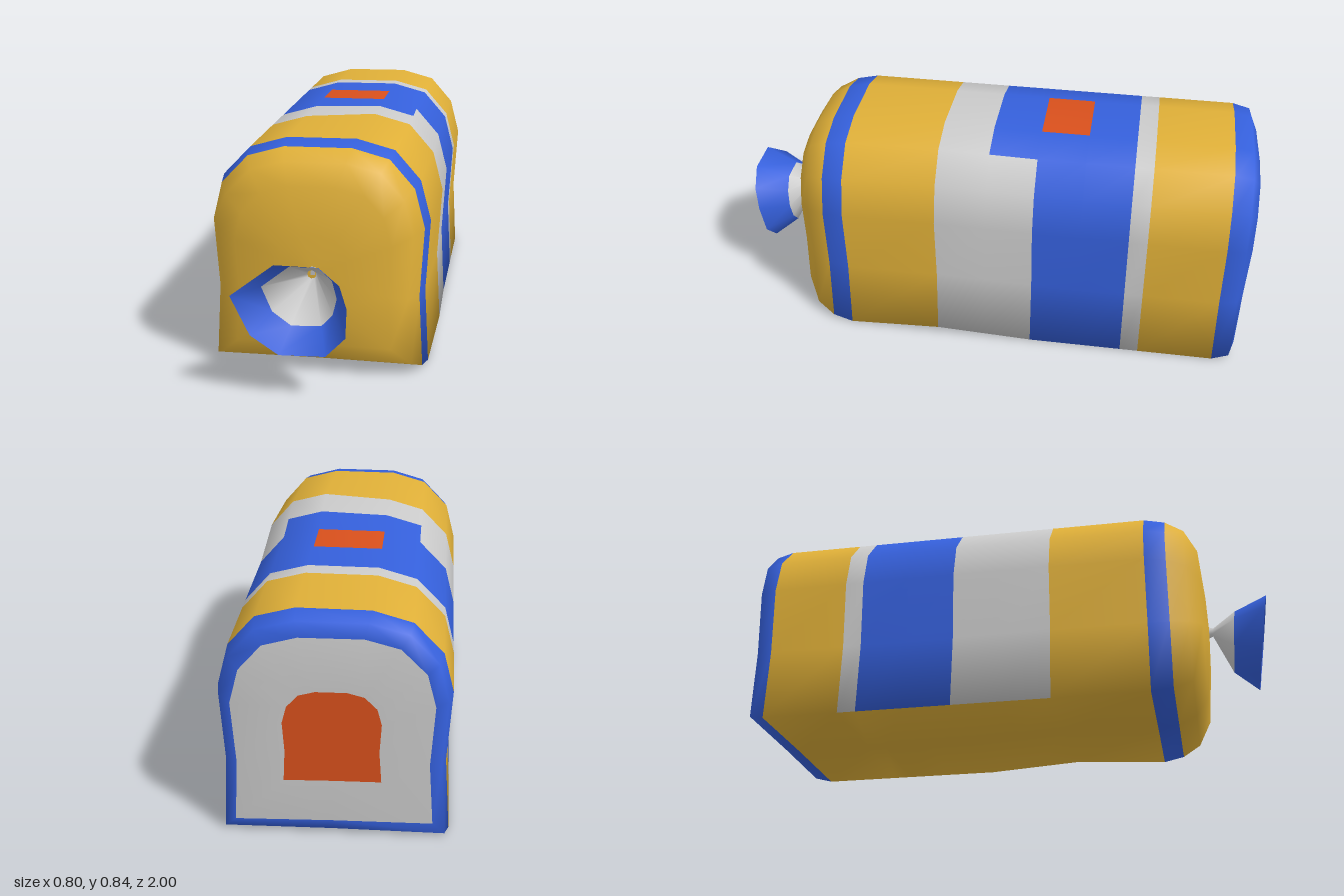
import * as THREE from 'three';

const COLORS = { gold: 0xe0b038, blue: 0x3560dc, grey: 0xcccccc, orange: 0xd9501c };

// Skins rows of closed rings (front to back) with shared smooth normals,
// then splits the cells into one mesh per colour.
function loft(name, rows, colorOf, side = THREE.FrontSide) {
  const n = rows[0].length, parts = {}, all = [];
  for (let r = 0; r < rows.length - 1; r++) {
    for (let i = 0; i < n; i++) {
      const a = r * n + i, b = r * n + (i + 1) % n, c = a + n, d = b + n;
      const cell = [a, b, c, b, d, c];
      all.push(...cell);
      (parts[colorOf(r, i)] ||= []).push(...cell);
    }
  }
  const base = new THREE.BufferGeometry();
  base.setAttribute('position', new THREE.Float32BufferAttribute(rows.flat(2), 3));
  base.setIndex(all);
  base.computeVertexNormals();
  const group = new THREE.Group();
  group.name = name;
  for (const [color, index] of Object.entries(parts)) {
    const geometry = new THREE.BufferGeometry();
    geometry.setAttribute('position', base.attributes.position);
    geometry.setAttribute('normal', base.attributes.normal);
    geometry.setIndex(index);
    const mesh = new THREE.Mesh(geometry, new THREE.MeshStandardMaterial({ color: COLORS[color], side }));
    mesh.name = `${name} ${color}`;
    group.add(mesh);
  }
  return group;
}

// Loaf outline, from the lower left corner over the top and back along the bottom
const OUTLINE = [
  [-0.4, 0.003], [-0.383, 0.28], [-0.4, 0.54], [-0.365, 0.68], [-0.265, 0.785], [-0.13, 0.824],
  [0.12, 0.826], [0.255, 0.79], [0.347, 0.685], [0.385, 0.54], [0.37, 0.28], [0.385, 0.003], [0, 0.006],
];

function section(z, scale = 1, cy = 0.4, lean = 0) {
  const bulge = Math.max(0, 1 - Math.abs(z - 0.19) / 0.37);
  return OUTLINE.map(([px, py]) => {
    const x = (px + (px > 0 ? 0.012 * bulge : 0)) * scale;
    const lift = px > 0 ? (py < 0.1 ? 0.028 : 0.015) : (px === 0 ? 0.02 : 0);
    const y = cy + (py + lift * bulge - cy) * scale;
    return [x, y, z - lean * (x + y - 0.4)];
  });
}

function loaf() {
  const rows = [
    // domed front
    section(0.771, 0.02), section(0.766, 0.3), section(0.748, 0.7), section(0.70, 0.88), section(0.63, 0.965),
    // wrapper bands
    ...[0.55, 0.19, 0, -0.18, -0.36, -0.54, -0.61, -0.9].map((z) => section(z)),
    // slightly leaning back
    section(-0.965, 0.965, 0.4, 0.01), section(-0.982, 0.86, 0.39, 0.03),
    section(-0.982, 0.42, 0.38, 0.03), section(-0.982, 0, 0.38, 0.03),
  ];
  const colorOf = (r, i) => {
    if (r === 4 || r === 12 || r === 13) return 'blue';
    if (r < 6 || r === 11) return 'gold';
    if (r === 14) return 'grey';
    if (r === 15) return 'orange';
    if (i >= 11) return 'gold';                              // plain bottom
    if (r === 6 || r === 10) return 'grey';
    if (r === 7) return i >= 4 && i <= 6 ? 'blue' : 'grey';  // label tab on top
    return r === 8 && i === 5 ? 'orange' : 'blue';
  };
  return loft('loaf', rows, colorOf);
}

// Twisted, flared end of the bag
function bagEnd() {
  const rim = [
    [-0.24, 0.38], [-0.085, 0.503], [0.06, 0.502], [0.13, 0.44], [0.152, 0.355],
    [0.145, 0.245], [0.075, 0.17], [-0.085, 0.165], [-0.18, 0.235],
  ];
  const throat = [
    [-0.16, 0.375], [-0.06, 0.455], [0.04, 0.455], [0.085, 0.41], [0.1, 0.345],
    [0.085, 0.285], [0.045, 0.24], [-0.06, 0.235], [-0.125, 0.285],
  ];
  const twist = (z, r) => rim.map((_, i) => {
    const a = Math.PI - (i / rim.length) * Math.PI * 2;
    return [r * Math.cos(a), 0.4 + r * Math.sin(a), z];
  });
  const rows = [
    rim.map(([x, y]) => [x, y, 0.95 + (y - 0.165) * 0.148]),
    throat.map(([x, y]) => [x, y, 0.865 + (y - 0.345) * 0.08]),
    twist(0.785, 0.016), twist(0.755, 0.03),
  ];
  return loft('bagEnd', rows, (r) => (r === 0 ? 'blue' : 'grey'), THREE.DoubleSide);
}

export function createModel() {
  const model = new THREE.Group();
  model.name = 'baggedLoaf';
  model.add(loaf(), bagEnd());
  return model;
}
